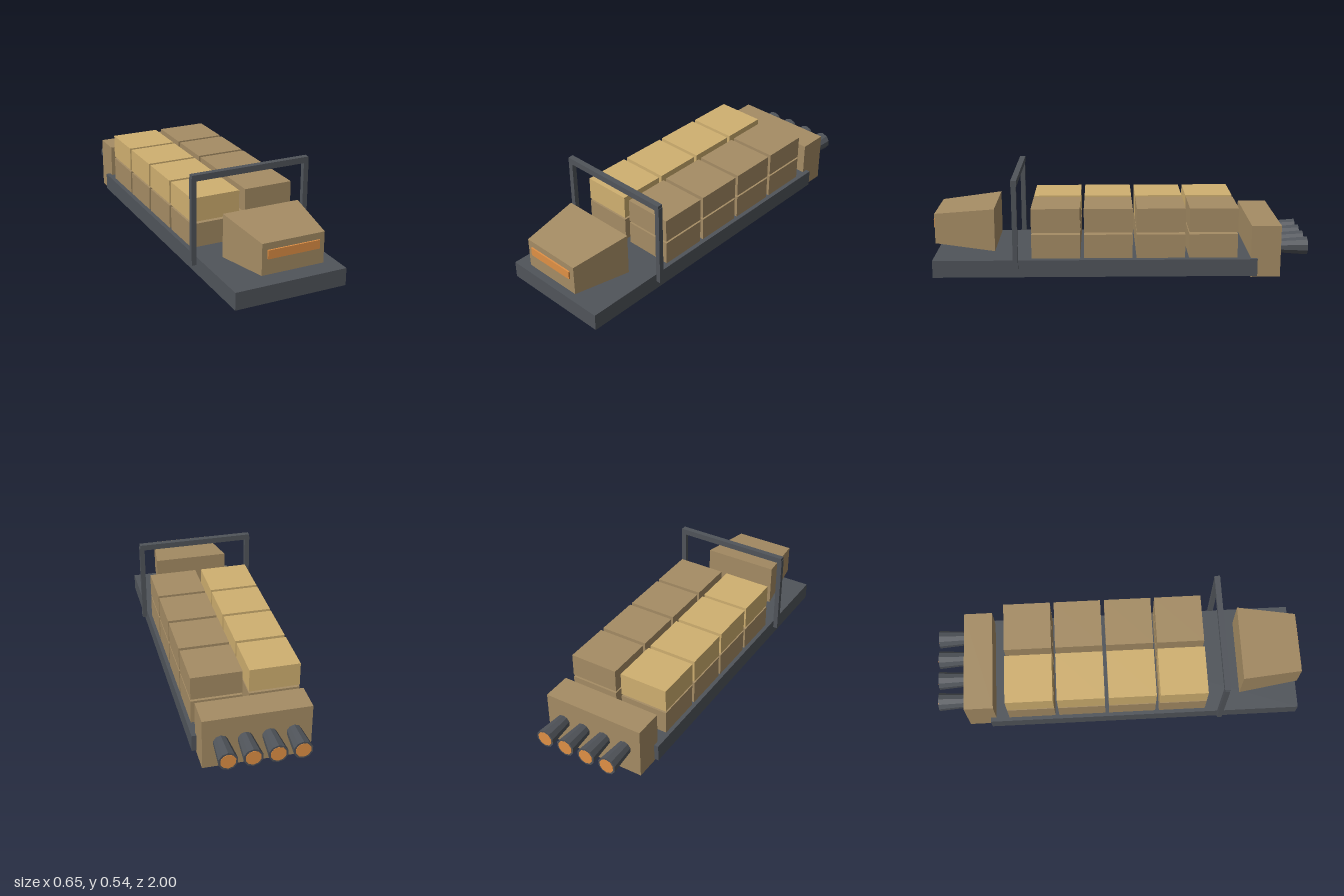
import * as THREE from 'three';

const material = (color) => new THREE.MeshStandardMaterial({ color, flatShading: true });

export function createModel() {
  const model = new THREE.Group();
  model.name = 'cargoHauler';

  const dark = material(0x50545a);
  const tan = material(0xa58c64);
  const yellow = material(0xd0b070);
  const orange = material(0xe09045);

  const add = (name, geometry, mat, x = 0, y = 0, z = 0) => {
    const mesh = new THREE.Mesh(geometry, mat);
    mesh.name = name;
    mesh.position.set(x, y, z);
    model.add(mesh);
    return mesh;
  };
  // Box given by its lower and upper limits on each axis
  const box = (name, mat, [x0, x1], [y0, y1], [z0, z1]) =>
    add(name, new THREE.BoxGeometry(x1 - x0, y1 - y0, z1 - z0), mat,
      (x0 + x1) / 2, (y0 + y1) / 2, (z0 + z1) / 2);

  // Flat deck and rear engine block
  box('deck', dark, [-0.302, 0.302], [0.013, 0.105], [-0.72, 0.992]);
  box('engineBlock', tan, [-0.278, 0.278], [0, 0.28], [-0.845, -0.688]);

  // Cabin: a box tapered towards the front
  const cabin = new THREE.BoxGeometry(0.416, 0.23, 0.322);
  const p = cabin.attributes.position;
  for (let i = 0; i < p.count; i++) {
    if (p.getZ(i) > 0) p.setXY(i, p.getX(i) * 0.803, p.getY(i) * 0.705);
  }
  cabin.computeVertexNormals();
  add('cabin', cabin, tan, 0, 0.244, 0.831);
  box('window', orange, [-0.139, 0.139], [0.245, 0.29], [0.96, 1]);

  // Hoop frame across the deck
  for (const side of [-1, 1]) {
    add('framePost', new THREE.BoxGeometry(0.027, 0.462, 0.026), dark, side * 0.3135, 0.291, 0.554);
  }
  box('frameBar', dark, [-0.324, 0.324], [0.506, 0.538], [0.539, 0.569]);

  // Cargo crates: two columns, two layers, four rows
  for (const side of [-1, 1]) {
    for (let layer = 0; layer < 2; layer++) {
      for (let row = 0; row < 4; row++) {
        add('crate', new THREE.BoxGeometry(0.266, 0.128, 0.256),
          side < 0 && layer === 1 ? yellow : tan,
          side * 0.15, 0.174 + layer * 0.1395, 0.344 - row * 0.277);
      }
    }
  }

  // Row of flared nozzles with glowing ends
  for (let i = 0; i < 4; i++) {
    const x = (i - 1.5) * 0.1235;
    const nozzle = add('nozzle', new THREE.CylinderGeometry(0.037, 0.05, 0.17, 10), dark, x, 0.145, -0.913);
    nozzle.rotation.x = Math.PI / 2;
    const glow = add('nozzleGlow', new THREE.CylinderGeometry(0.04, 0.04, 0.01, 10), orange, x, 0.145, -0.995);
    glow.rotation.x = Math.PI / 2;
  }
  // Flared ends face the rear
  model.children.filter((m) => m.name === 'nozzle').forEach((m) => { m.rotation.x = Math.PI / 2; m.scale.y = -1; m.rotation.x = -Math.PI / 2; m.scale.y = 1; m.geometry.rotateX(Math.PI); });

  return model;
}
